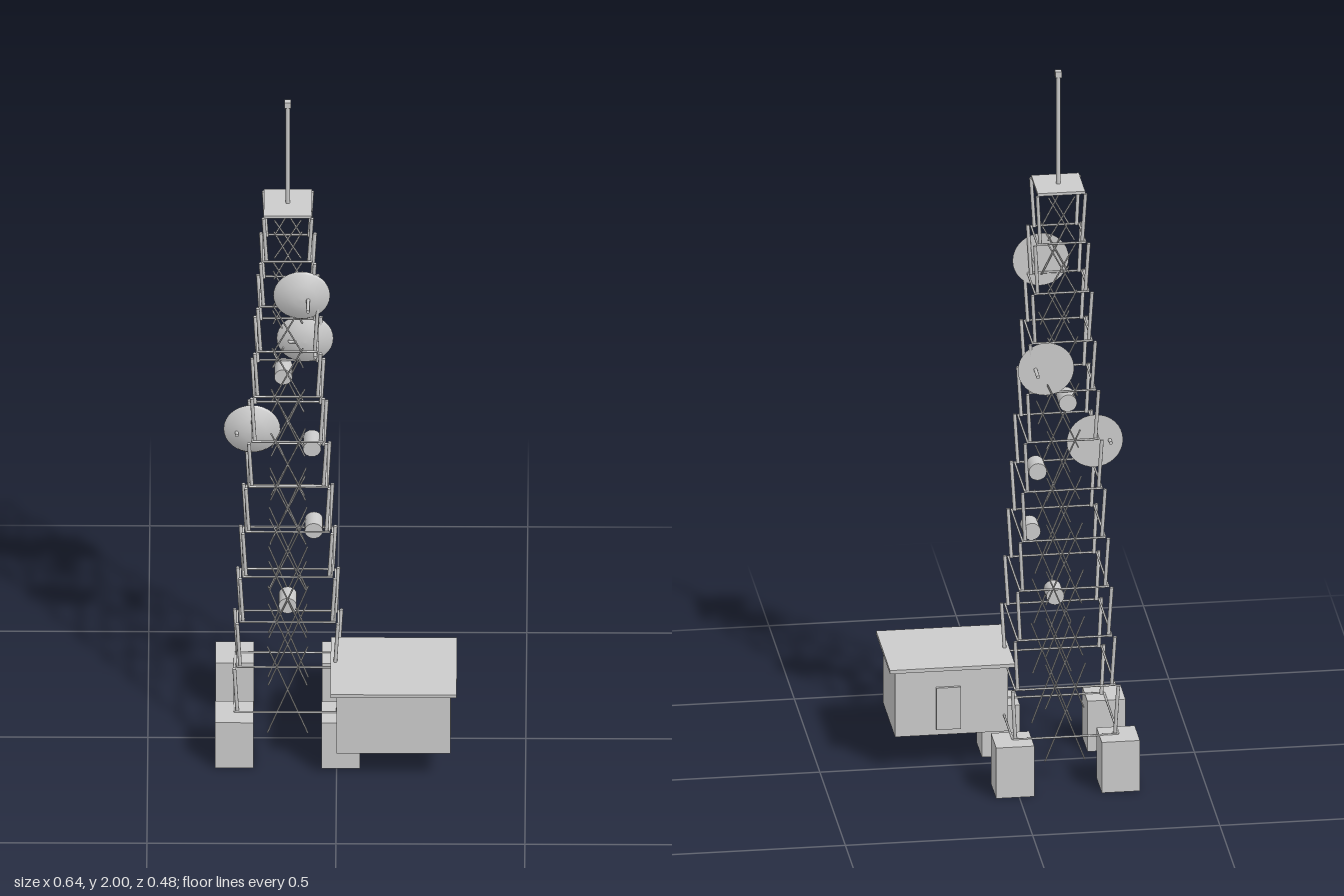
import * as THREE from 'three';

const grey = new THREE.MeshStandardMaterial({ color: 0xcccccc });
const greyThin = new THREE.MeshStandardMaterial({ color: 0xcccccc, side: THREE.DoubleSide });
const UP = new THREE.Vector3(0, 1, 0);

function add(parent, name, geometry, x, y, z, material = grey) {
  const mesh = new THREE.Mesh(geometry, material);
  mesh.name = name;
  mesh.position.set(x, y, z);
  parent.add(mesh);
  return mesh;
}

function box(parent, name, w, h, d, x, y, z) {
  return add(parent, name, new THREE.BoxGeometry(w, h, d), x, y, z);
}

// Round rod between two points
function rod(parent, name, a, b, radius, sides = 6) {
  const from = new THREE.Vector3(...a);
  const dir = new THREE.Vector3(...b).sub(from);
  const mid = from.addScaledVector(dir, 0.5);
  const mesh = add(parent, name, new THREE.CylinderGeometry(radius, radius, dir.length(), sides), mid.x, mid.y, mid.z);
  mesh.quaternion.setFromUnitVectors(UP, dir.normalize());
}

const LEVELS = 11, BASE = 0.145, STEP = 0.1386;
const halfWidth = (i) => 0.141 - 0.0077 * i;
const levelY = (i) => BASE + STEP * i;

function makeTower() {
  const tower = new THREE.Group();
  tower.name = 'tower';
  tower.position.set(-0.13, 0, -0.048);

  // Concrete footings
  for (const sx of [-1, 1]) for (const sz of [-1, 1])
    box(tower, 'footing', 0.102, BASE, 0.102, sx * 0.141, BASE / 2, sz * 0.141);

  for (let i = 0; i < LEVELS; i++) {
    const y0 = levelY(i), y1 = levelY(i + 1);
    const w = halfWidth(i), inner = halfWidth(i + 1);

    // Leg sections, each flaring outward to its top
    for (const sx of [-1, 1]) for (const sz of [-1, 1])
      rod(tower, 'legSection', [sx * inner, y0, sz * inner], [sx * w, y1, sz * w], 0.005, 8);

    // Crossed braces on front and back
    const yc = (y0 + y1) / 2, zc = (w + inner) / 2, bx = 0.02 + 0.235 * w;
    for (const sz of [-1, 1]) for (const s of [-1, 1])
      rod(tower, 'brace', [-s * bx, yc - w, sz * (zc - 0.006)], [s * bx, yc + w, sz * (zc + 0.006)], 0.0022);
  }

  // Square rings of horizontal bars
  for (let i = 0; i <= LEVELS; i++) {
    const w = halfWidth(i), y = levelY(i);
    for (const s of [-1, 1]) {
      rod(tower, 'crossBar', [-w, y, s * w], [w, y, s * w], 0.003);
      rod(tower, 'sideBar', [s * w, y, -w], [s * w, y, w], 0.003);
    }
  }

  // Top platform and mast
  box(tower, 'platform', 0.127, 0.008, 0.127, 0, 1.673, 0);
  rod(tower, 'mast', [0, 1.67, 0], [0, 1.99, 0], 0.006, 8);
  box(tower, 'mastTip', 0.017, 0.017, 0.017, 0, 1.9915, 0);
  return tower;
}

// Shallow dish bulging toward +z, with a feed rod
function makeDish(x, y, z, feedX, feedBack, feedFront) {
  const dish = new THREE.Group();
  dish.name = 'dish';
  const profile = [[0.0752, 0], [0.07, 0.006], [0.04, 0.018], [0.02, 0.023], [0, 0.024]]
    .map(([r, h]) => new THREE.Vector2(r, h));
  const bowl = add(dish, 'dishBowl', new THREE.LatheGeometry(profile, 32), x, y, z, greyThin);
  bowl.rotation.x = Math.PI / 2;
  add(dish, 'dishBack', new THREE.CircleGeometry(0.0752, 32), x, y, z, greyThin);
  rod(dish, 'dishFeed', [feedX, y, feedBack], [feedX, y, feedFront], 0.005, 8);
  return dish;
}

function makeShelter() {
  const shelter = new THREE.Group();
  shelter.name = 'shelter';
  box(shelter, 'shelterWalls', 0.302, 0.19, 0.238, 0.151, 0.193, 0.099);
  box(shelter, 'shelterRoof', 0.334, 0.01, 0.272, 0.151, 0.292, 0.099);
  box(shelter, 'door', 0.065, 0.12, 0.01, 0.16, 0.175, -0.023);
  return shelter;
}

export function createModel() {
  const model = new THREE.Group();
  model.name = 'radioTower';
  model.add(makeTower(), makeShelter());

  // Dishes
  model.add(makeDish(-0.093, 1.43, 0.025, -0.076, -0.035, 0.104));
  model.add(makeDish(-0.085, 1.183, -0.138, -0.057, -0.19, -0.045));
  model.add(makeDish(-0.225, 0.94, -0.069, -0.265, -0.09, -0.036));
  rod(model, 'dishArm', [-0.13, 1.185, -0.118], [-0.087, 1.185, -0.118], 0.004);

  // Drum antennas
  for (const [x, y, z] of [[-0.142, 1.087, -0.123], [-0.066, 0.88, -0.09], [-0.061, 0.674, -0.008], [-0.13, 0.465, 0.037]])
    rod(model, 'drumAntenna', [x, y, z - 0.028], [x, y, z + 0.028], 0.024, 20);
  return model;
}
